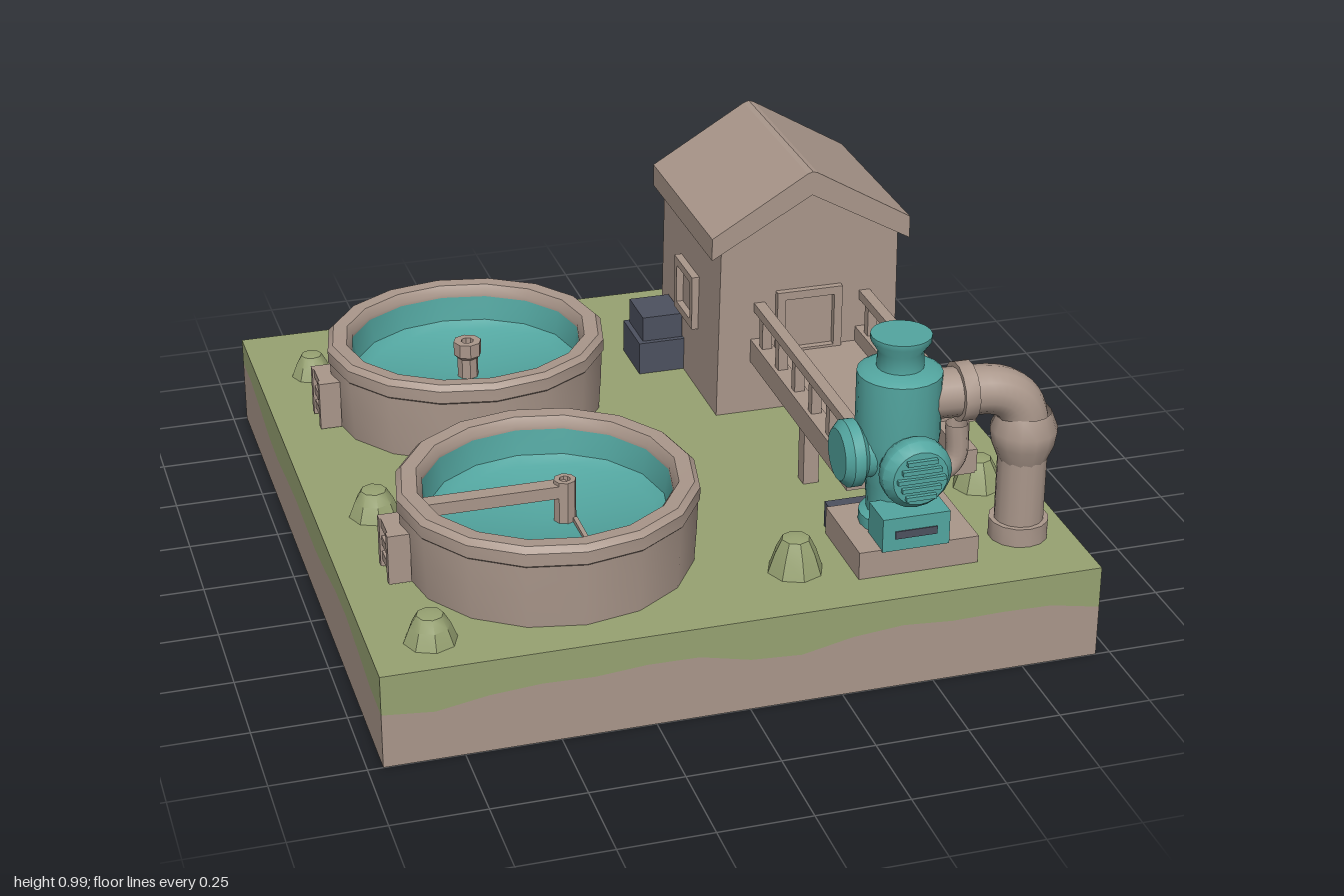
import * as THREE from 'three';
import { toCreasedNormals } from 'three/addons/utils/BufferGeometryUtils.js';

const V = (x, y, z) => new THREE.Vector3(x, y, z);
const P = (x, y) => new THREE.Vector2(x, y);

export function createModel() {
  const root = new THREE.Group();
  root.name = 'waterWorks';
  const mat = (name, color, side = THREE.FrontSide) => {
    const m = new THREE.MeshStandardMaterial({ color, side });
    m.name = name;
    return m;
  };
  const stone = mat('stone', 0xaa978b, THREE.DoubleSide);
  const grass = mat('grass', 0x97a272, THREE.DoubleSide);
  const teal = mat('teal', 0x53a6a0, THREE.DoubleSide);
  const slate = mat('slate', 0x4d515f);

  const add = (name, geo, m, parent = root) => {
    const mesh = new THREE.Mesh(geo, m);
    mesh.name = name;
    parent.add(mesh);
    return mesh;
  };
  // Box given by its limits on each axis
  const box = (name, m, x0, x1, y0, y1, z0, z1, parent) => {
    const b = add(name, new THREE.BoxGeometry(x1 - x0, y1 - y0, z1 - z0), m, parent);
    b.position.set((x0 + x1) / 2, (y0 + y1) / 2, (z0 + z1) / 2);
    return b;
  };
  const lathe = (name, m, pts, x, y, z, sides = 20, parent = root) => {
    const g = new THREE.LatheGeometry(pts.map(p => P(p[0], p[1])), sides);
    const l = add(name, toCreasedNormals(g, 0.7), m, parent);
    l.position.set(x, y, z);
    return l;
  };

  // Ground block: soil below, turf above, with a wavy border between them
  const X = 0.96, Z = 1, TOP = 0.262, N = 14;
  const corners = [[-X, Z], [X, Z], [X, -Z], [-X, -Z], [-X, Z]];
  const ring = [];
  for (let s = 0; s < 4; s++) {
    for (let i = 0; i <= N; i++) {
      const t = i / N, a = corners[s], b = corners[s + 1];
      ring.push([a[0] + (b[0] - a[0]) * t, a[1] + (b[1] - a[1]) * t]);
    }
  }
  const border = (x, z) => 0.165 + 0.017 * Math.sin(7 * x + 4 * z) + 0.012 * Math.sin(13 * x - 9 * z);
  const band = (low, high) => {
    const pos = [], idx = [];
    ring.forEach(([x, z], i) => {
      pos.push(x, low(x, z), z, x, high(x, z), z);
      if (i < ring.length - 1) {
        const k = i * 2;
        idx.push(k, k + 2, k + 1, k + 1, k + 2, k + 3);
      }
    });
    const g = new THREE.BufferGeometry();
    g.setAttribute('position', new THREE.Float32BufferAttribute(pos, 3));
    g.setIndex(idx);
    return toCreasedNormals(g, 0.6);
  };
  add('soilSides', band(() => 0, border), stone);
  add('turfSides', band(border, () => TOP), grass);
  const flat = (name, m, pts, y, up) => {
    const g = new THREE.ShapeGeometry(new THREE.Shape(pts.map(p => P(p[0], up ? -p[1] : p[1]))));
    const f = add(name, g, m);
    f.rotation.x = up ? -Math.PI / 2 : Math.PI / 2;
    f.position.y = y;
  };
  const square = corners.slice(0, 4);
  flat('turfTop', grass, square, TOP, true);
  flat('underside', stone, square, 0.004, false);
  flat('undersidePatch', grass, [[0.94, -0.98], [0.96, 0], [0.14, 0.05], [-0.76, -0.31], [-0.39, -0.87]], 0, false);
  flat('undersideEdge', grass, [[-X, Z], [-0.02, 0.93], [-0.67, 0.66], [-0.86, -0.8], [-X, -Z]], 0, false);

  // Tapered tufts scattered round the edge: x, z, radius, height
  [[-0.8, -0.71, 0.06, 0.07], [-0.8, 0.18, 0.07, 0.08], [-0.8, 0.86, 0.07, 0.08], [0.19, 0.78, 0.075, 0.1],
    [0.82, 0.48, 0.07, 0.09], [0.87, 0.03, 0.06, 0.07], [0.86, -0.39, 0.075, 0.09], [0.87, -0.66, 0.07, 0.08],
    [0.58, -0.88, 0.08, 0.09]].forEach(([x, z, r, h]) =>
    lathe('tuft', grass, [[r, 0], [r * 0.75, h * 0.55], [r * 0.5, h * 0.93], [0, h]], x, TOP, z, 8));

  // Two round settling tanks
  const tank = (z, depth) => {
    const g = new THREE.Group();
    g.name = 'tank';
    g.position.set(-0.405, 0, z);
    root.add(g);
    const wall = lathe('tankWall', stone, [[0.385, 0.25], [0.392, 0.36], [0.395, 0.44], [0.4, 0.445], [0.4, 0.48],
      [0.385, 0.495], [0.345, 0.493], [0.33, 0.47], [0.33, 0.455]], 0, 0, 0, 16, g);
    const water = lathe('tankWater', teal, [[0.33, 0.46], [0.318, 0.39], [0.29, 0.37], [0, 0.36]].reverse(), 0, 0, 0, 16, g);
    wall.scale.z = water.scale.z = depth;
    // Step bracket on the outside
    for (const s of [-1, 1]) box('stepSide', stone, -0.44, -0.38, 0.27, 0.41, s * 0.05 - 0.012, s * 0.05 + 0.012, g);
    for (const y of [0.29, 0.335, 0.385]) box('step', stone, -0.435, -0.38, y, y + 0.025, -0.05, 0.05, g);
    return g;
  };
  const back = tank(-0.4, 0.925);
  const front = tank(0.515, 1);
  lathe('centrePost', stone, [[0.03, 0.35], [0.03, 0.42], [0.04, 0.43], [0.04, 0.47], [0.018, 0.47], [0.018, 0.44], [0, 0.44]],
    0, 0, 0.02, 8, back);
  lathe('armPost', stone, [[0.03, 0.35], [0.03, 0.48], [0.015, 0.48], [0.015, 0.46], [0, 0.46]], 0.045, 0, 0.01, 8, front);
  box('skimmerArm', stone, -0.33, 0.05, 0.435, 0.47, -0.012, 0.032, front);
  box('skimmerBlade', stone, 0.06, 0.072, 0.36, 0.375, 0.03, 0.19, front);

  // Pump house with gabled roof
  const house = new THREE.Group();
  house.name = 'pumpHouse';
  root.add(house);
  const prism = (name, pts, z0, z1) => {
    const g = new THREE.ExtrudeGeometry(new THREE.Shape(pts.map(p => P(p[0], p[1]))), { depth: z1 - z0, bevelEnabled: false });
    add(name, g, stone, house).position.z = z0;
  };
  prism('houseWalls', [[0.26, 0.25], [0.8, 0.25], [0.795, 0.78], [0.53, 0.93], [0.27, 0.78]], -0.67, -0.12);
  prism('roof', [[0.238, 0.755], [0.53, 0.92], [0.825, 0.755], [0.825, 0.82], [0.545, 0.985], [0.53, 0.99], [0.515, 0.985],
    [0.238, 0.82]], -0.68, -0.105);
  // Raised frames round the doorway and the side window
  const frame = (name, w, h) => {
    const g = new THREE.Group();
    g.name = name;
    house.add(g);
    for (const s of [-1, 1]) {
      box('frameSide', stone, s * w / 2 - 0.012, s * w / 2 + 0.012, -h / 2, h / 2, -0.01, 0.02, g);
      box('frameEnd', stone, -w / 2 - 0.012, w / 2 + 0.012, s * h / 2 - 0.012, s * h / 2 + 0.012, -0.01, 0.02, g);
    }
    return g;
  };
  frame('doorFrame', 0.17, 0.18).position.set(0.53, 0.53, -0.12);
  const win = frame('windowFrame', 0.15, 0.14);
  win.position.set(0.265, 0.53, -0.4);
  win.rotation.y = -Math.PI / 2;

  // Dark equipment boxes
  box('cabinetBase', slate, 0.125, 0.265, 0.26, 0.36, -0.61, -0.44);
  box('cabinetTop', slate, 0.14, 0.26, 0.36, 0.435, -0.595, -0.455);
  box('controlBox', slate, 0.34, 0.46, 0.26, 0.335, 0.58, 0.7);

  // Raised walkway with railings
  const walk = new THREE.Group();
  walk.name = 'walkway';
  root.add(walk);
  box('deck', stone, 0.36, 0.72, 0.42, 0.445, -0.13, 0.69, walk);
  for (const x of [0.385, 0.7]) {
    box('sideBeam', stone, x - 0.025, x + 0.025, 0.425, 0.49, -0.13, 0.69, walk);
    box('handRail', stone, x - 0.016, x + 0.016, 0.575, 0.602, -0.13, 0.69, walk);
    for (let i = 0; i < 6; i++) {
      const z = -0.06 + i * 0.14;
      box('railPost', stone, x - 0.014, x + 0.014, 0.48, 0.58, z - 0.014, z + 0.014, walk);
    }
    box('walkwayLeg', stone, x - 0.022, x + 0.022, 0.25, 0.43, 0.3, 0.345, walk);
  }

  // Upright pump on its plinth
  box('plinth', stone, 0.33, 0.66, 0.25, 0.34, 0.62, 0.88);
  const px = 0.48, pz = 0.73;
  lathe('pumpBody', teal, [[0.095, 0.33], [0.095, 0.37], [0.075, 0.38], [0.08, 0.46], [0.105, 0.54], [0.112, 0.6], [0.112, 0.775],
    [0.095, 0.785], [0.062, 0.79], [0.06, 0.835], [0.08, 0.865], [0.08, 0.88], [0, 0.88]], px, 0, pz);
  const disc = [[0, 0], [0.085, 0], [0.095, 0.02], [0.095, 0.05], [0.075, 0.075], [0, 0.08]];
  lathe('frontCover', teal, disc, px, 0.548, 0.83).rotation.x = Math.PI / 2;
  lathe('frontCoverNeck', teal, [[0.075, 0], [0.075, 0.12]], px, 0.548, pz).rotation.x = Math.PI / 2;
  lathe('sidePort', teal, [[0.07, 0], [0.07, 0.1], [0.09, 0.115], [0.09, 0.145], [0.07, 0.165], [0, 0.165]],
    px, 0.555, pz).rotation.z = Math.PI / 2;
  for (let i = -2; i <= 2; i++) {
    const w = 0.065 - Math.abs(i) * 0.012;
    box('grilleBar', teal, px - w, px + w, 0.548 + i * 0.025 - 0.006, 0.548 + i * 0.025 + 0.006, 0.89, 0.918);
  }
  box('pumpFoot', teal, 0.39, 0.575, 0.335, 0.43, 0.78, 0.885);
  box('footSlot', slate, 0.425, 0.54, 0.37, 0.392, 0.88, 0.888);

  // Outlet pipe: out of the pump, round an elbow and into the ground
  const path = new THREE.CurvePath();
  path.add(new THREE.LineCurve3(V(0.54, 0.7, 0.74), V(0.7, 0.7, 0.75)));
  path.add(new THREE.QuadraticBezierCurve3(V(0.7, 0.7, 0.75), V(0.82, 0.7, 0.765), V(0.82, 0.57, 0.765)));
  path.add(new THREE.LineCurve3(V(0.82, 0.57, 0.765), V(0.82, 0.25, 0.765)));
  add('outletPipe', new THREE.TubeGeometry(path, 40, 0.066, 14), stone);
  const collar = (r, h) => [[0.05, 0], [r, 0], [r, h], [0.05, h]];
  lathe('pipeFoot', stone, collar(0.08, 0.055), 0.82, 0.26, 0.765, 14);
  lathe('pipeCollar', stone, [[0.06, -0.06], [0.084, 0], [0.09, 0.04], [0.07, 0.09]], 0.82, 0.54, 0.765, 14);
  lathe('pumpCollar', stone, collar(0.08, 0.04), 0.63, 0.7, 0.745, 14).rotation.z = -Math.PI / 2;

  // Small drain stub beside the pump
  const stub = new THREE.CatmullRomCurve3([V(0.53, 0.465, 0.73), V(0.61, 0.465, 0.73), V(0.645, 0.5, 0.73), V(0.645, 0.6, 0.73)]);
  add('drainStub', new THREE.TubeGeometry(stub, 16, 0.03, 10), stone);

  return root;
}
